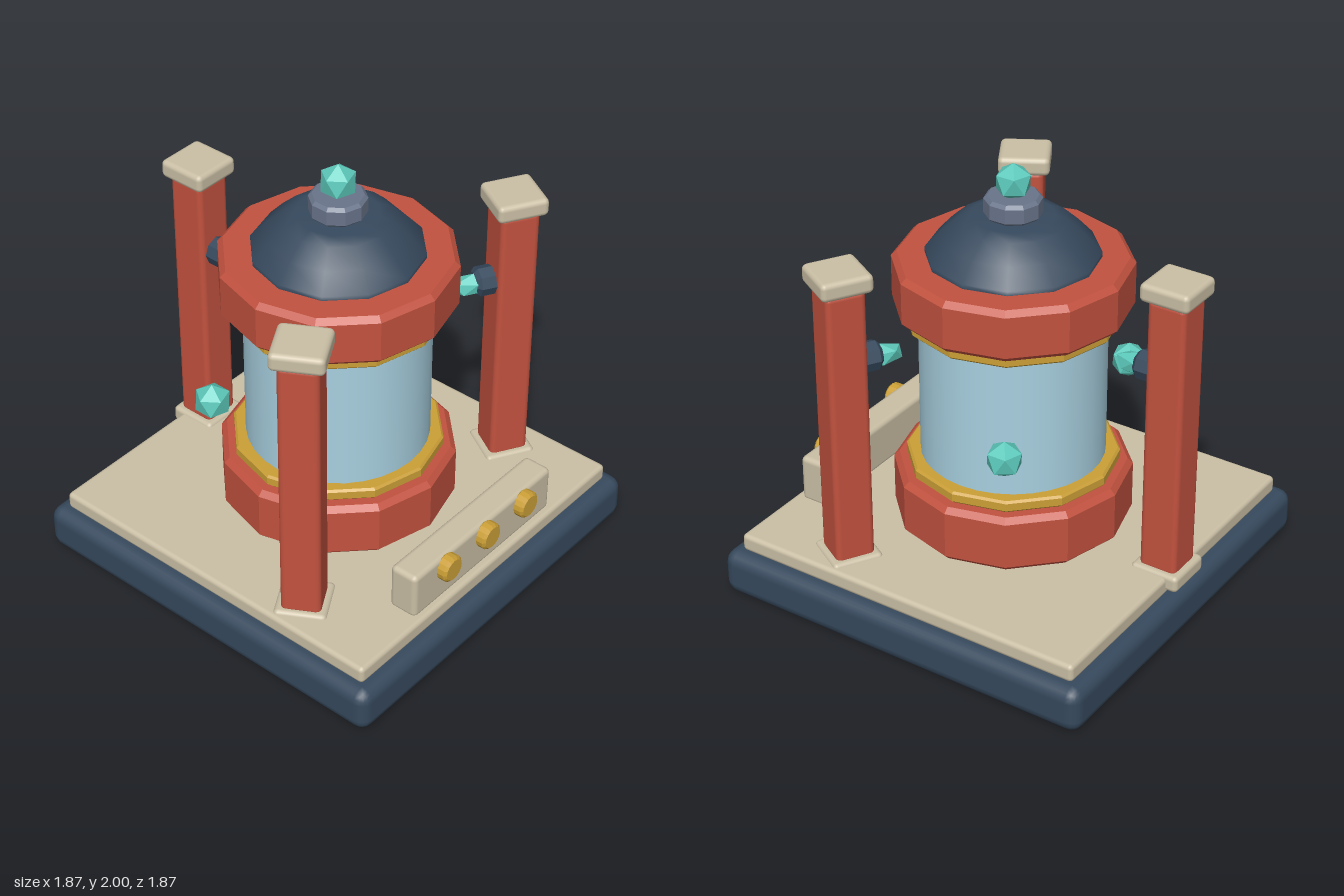
import * as THREE from 'three';
import { RoundedBoxGeometry } from 'three/addons/geometries/RoundedBoxGeometry.js';

export function createModel() {
  const root = new THREE.Group();
  root.name = 'energyChamber';

  const material = (name, color, flat = false) => {
    const m = new THREE.MeshStandardMaterial({ color, flatShading: flat });
    m.name = name;
    return m;
  };
  const navy = material('navy', 0x36495d);
  const tan = material('tan', 0xcabfa5);
  const red = material('red', 0xc2523f);
  const gold = material('gold', 0xcb9f36);
  const glass = material('paleBlueGlass', 0xa8d0e0);
  const teal = material('tealCrystal', 0x5cc9bb, true);
  const grey = material('slateGrey', 0x69748a);

  const add = (parent, name, geometry, mat, x = 0, y = 0, z = 0) => {
    const mesh = new THREE.Mesh(geometry, mat);
    mesh.name = name;
    mesh.position.set(x, y, z);
    parent.add(mesh);
    return mesh;
  };
  const box = (parent, name, mat, [w, h, d], radius, [x, y, z]) =>
    add(parent, name, new RoundedBoxGeometry(w, h, d, 2, radius), mat, x, y, z);

  // Faceted drum with bevelled rims, standing on y = 0
  const drum = (r, h, bevel, sides) => {
    const profile = [
      [0, 0], [r - bevel, 0], [r, bevel], [r, h - bevel], [r - bevel, h], [0, h],
    ].map(([a, b]) => new THREE.Vector2(a, b));
    const g = new THREE.LatheGeometry(profile, sides).toNonIndexed();
    g.computeVertexNormals();
    return g;
  };

  // Twenty-sided crystal with one corner straight up
  const crystal = (r) => {
    const g = new THREE.IcosahedronGeometry(r, 0);
    g.rotateZ(Math.atan(2 / (1 + Math.sqrt(5))));
    return g;
  };

  // Base
  box(root, 'basePlinth', navy, [1.874, 0.215, 1.874], 0.06, [0, 0.1075, 0]);
  box(root, 'basePlate', tan, [1.74, 0.085, 1.74], 0.022, [0, 0.2525, 0]);

  // Central chamber
  const chamber = new THREE.Group();
  chamber.name = 'chamber';
  root.add(chamber);
  add(chamber, 'lowerCollar', drum(0.535, 0.27, 0.025, 12), red, 0, 0.295, 0);
  add(chamber, 'lowerBand', drum(0.477, 0.056, 0.01, 12), gold, 0, 0.565, 0);
  add(chamber, 'glassTank', new THREE.CylinderGeometry(0.413, 0.413, 0.7, 32), glass, 0, 0.955, 0);
  add(chamber, 'upperBand', drum(0.477, 0.052, 0.01, 12), gold, 0, 1.284, 0);
  add(chamber, 'upperCollar', drum(0.525, 0.24, 0.025, 12), red, 0, 1.335, 0);

  // Roof dome, knob and finial
  const domeProfile = [
    [0.38, 1.57], [0.38, 1.595], [0.31, 1.672], [0.235, 1.742], [0.18, 1.762], [0, 1.764],
  ].map(([r, y]) => new THREE.Vector2(r, y));
  add(chamber, 'dome', new THREE.LatheGeometry(domeProfile, 12), navy);
  add(chamber, 'knob', drum(0.127, 0.095, 0.015, 10), grey, 0, 1.76, 0);
  add(chamber, 'finialCrystal', crystal(0.085), teal, 0, 1.915, 0);

  // Three pillars around the chamber, each with an inward emitter
  [Math.PI, Math.PI / 3, -Math.PI / 3].forEach((angle) => {
    const pillar = new THREE.Group();
    pillar.name = 'pillar';
    pillar.rotation.y = angle;
    root.add(pillar);
    box(pillar, 'pillarFoot', tan, [0.235, 0.08, 0.235], 0.022, [0, 0.27, 0.805]);
    box(pillar, 'pillarShaft', red, [0.178, 1.32, 0.18], 0.025, [0, 0.95, 0.805]);
    box(pillar, 'pillarCap', tan, [0.235, 0.086, 0.235], 0.024, [0, 1.647, 0.805]);
    const nozzle = add(pillar, 'emitterNozzle', drum(0.068, 0.115, 0.018, 8), navy, 0, 1.245, 0.745);
    nozzle.rotation.x = -Math.PI / 2;
    const tip = add(pillar, 'emitterCrystal', crystal(0.055), teal, 0, 1.237, 0.63);
    tip.scale.z = 2.1;
  });

  // Floating crystals beside the tank
  for (const side of [-1, 1]) {
    add(root, 'floatingCrystal', crystal(0.085), teal, side * 0.5, 0.907, -0.29);
  }

  // Control panel with three buttons
  box(root, 'controlPanel', tan, [0.96, 0.23, 0.14], 0.025, [0, 0.395, 0.765]);
  for (const x of [-0.27, 0, 0.27]) {
    const button = add(root, 'button', drum(0.063, 0.06, 0.012, 16), gold, x, 0.448, 0.82);
    button.rotation.x = Math.PI / 2;
  }

  return root;
}
